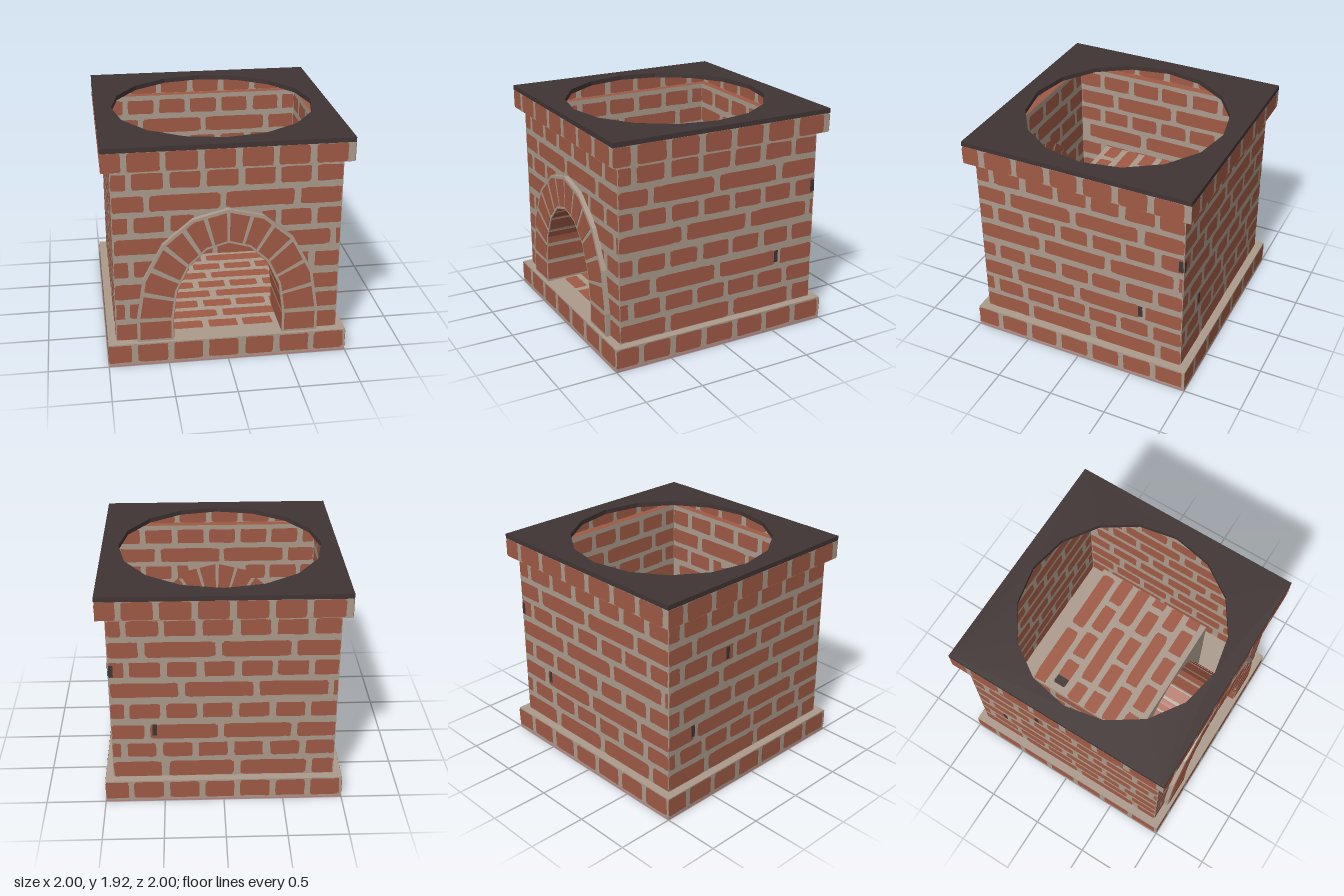
import * as THREE from 'three';
import { mergeGeometries } from 'three/addons/utils/BufferGeometryUtils.js';

const paint = (name, color) => {
  const m = new THREE.MeshStandardMaterial({ color, side: THREE.DoubleSide });
  m.name = name;
  return m;
};

export function createModel() {
  const model = new THREE.Group();
  const brick = paint('brick red', 0xa05a45);
  const mortar = paint('mortar', 0xab9b8c);
  const dark = paint('charcoal', 0x413535);
  const pink = paint('pink', 0xcc7a7a);

  let seed = 7;
  const rand = () => (seed = (seed * 16807) % 2147483647) / 2147483647 - 0.5;
  const clamp = THREE.MathUtils.clamp;
  const add = (name, geo, mat) => {
    const mesh = new THREE.Mesh(geo, mat);
    mesh.name = name;
    model.add(mesh);
    return mesh;
  };

  // Frames: k quarter turns around y, pushed out by d; or a level at height y (v = -z)
  const side = (k, d) => new THREE.Matrix4().makeRotationY(k * Math.PI / 2)
    .multiply(new THREE.Matrix4().makeTranslation(0, 0, d));
  const level = (y) => new THREE.Matrix4().makeTranslation(0, y, 0)
    .multiply(new THREE.Matrix4().makeRotationX(-Math.PI / 2));
  const rectShape = (u0, u1, v0, v1) => new THREE.Shape([[u0, v0], [u1, v0], [u1, v1], [u0, v1]]
    .map(p => new THREE.Vector2(...p)));
  const flat = (shape, frame) => new THREE.ShapeGeometry(shape).applyMatrix4(frame);
  const panel = (name, frame, u0, u1, v0, v1, mat = mortar) =>
    add(name, flat(rectShape(u0, u1, v0, v1), frame), mat);

  // One worn brick face, kept inside its rectangle
  const blob = (u0, u1, v0, v1, wear = 0.014) => {
    const pts = [];
    for (let i = 0; i < 28; i++) {
      const t = (i + 0.5) / 28 * Math.PI * 2, c = Math.cos(t), s = Math.sin(t);
      const x = Math.sign(c) * Math.abs(c) ** 0.2, y = Math.sign(s) * Math.abs(s) ** 0.25;
      pts.push(new THREE.Vector2(
        clamp((u0 + u1) / 2 + x * (u1 - u0) / 2 + rand() * wear, u0, u1),
        clamp((v0 + v1) / 2 + y * (v1 - v0) / 2 + rand() * wear, v0, v1)));
    }
    return new THREE.Shape(pts);
  };

  // Courses of bricks: each row is [centre, height, pitch, first joint]
  const courses = (name, frame, u0, u1, rows, gap = () => 0, wear) => {
    const list = [];
    for (const [v, h, pitch, joint] of rows) {
      const g = gap(v);
      for (let j = joint - pitch * Math.ceil((joint - u0) / pitch); j < u1; j += pitch) {
        const a = Math.max(u0, j + 0.024 + rand() * 0.012), b = Math.min(u1, j + pitch - 0.024 + rand() * 0.012);
        const parts = g > 0 ? [[a, Math.min(b, -g)], [Math.max(a, g), b]] : [[a, b]];
        for (const [p, q] of parts) {
          if (q - p > 0.03) list.push(flat(blob(p, q, v - h / 2, v + h / 2, wear), frame));
        }
      }
    }
    add(name, mergeGeometries(list), brick);
  };

  const L = 0.605, S = 0.297;
  const wallRows = [[0.28, 0.15, L, -0.49], [0.47, 0.14, S, -0.83], [0.65, 0.14, L, -0.63], [0.85, 0.14, S, -0.79],
    [1.05, 0.14, L, -0.34], [1.24, 0.14, S, -0.78], [1.42, 0.14, L, -0.65], [1.61, 0.14, S, -0.79]];

  // Arch outline: straight legs, then a half ellipse of eight facets; s runs 0..14
  const IN = [0.455, 0.66], OUT = [0.755, 0.95];
  const archPoint = (s, [a, h]) => {
    if (s < 1) return new THREE.Vector2(-a, 0.2 + 0.2 * s);
    if (s > 13) return new THREE.Vector2(a, 0.2 + 0.2 * (14 - s));
    const t = (s - 1) / 1.5, i = Math.min(7, Math.floor(t));
    const corner = n => new THREE.Vector2(-a * Math.cos(n * Math.PI / 8), 0.4 + h * Math.sin(n * Math.PI / 8));
    return corner(i).lerp(corner(i + 1), t - i);
  };
  const stops = [0, 1, 2.5, 4, 5.5, 7, 8.5, 10, 11.5, 13, 14];
  const archPath = (size) => stops.map(s => archPoint(s, size));
  const band = (inner, outer, ss, z0, z1) => new THREE.ExtrudeGeometry(
    new THREE.Shape([...ss.map(s => archPoint(s, outer)), ...ss.map(s => archPoint(s, inner)).reverse()]),
    { depth: z1 - z0, bevelEnabled: false }).translate(0, 0, z0);
  const voussoirs = (name, inner, outer, gap, z0, z1) => {
    const list = [];
    for (let i = 0; i < 14; i++) {
      const a = i + gap + rand() * 0.05, b = i + 1 - gap + rand() * 0.05;
      list.push(band(inner, outer, [0, 0.25, 0.5, 0.75, 1].map(t => a + (b - a) * t), z0, z1));
    }
    add(name, mergeGeometries(list), brick);
  };

  // Base block
  add('base', new THREE.BoxGeometry(1.994, 0.196, 1.994).translate(0, 0.102, 0), mortar);
  // Outer walls, base course and top course on all four sides
  const archGap = v => (v >= 1.35 ? 0 : v < 0.4 ? 0.66 : 0.755 * Math.sqrt(1 - ((v - 0.4) / 0.95) ** 2) - 0.08);
  for (let k = 0; k < 4; k++) {
    const shape = rectShape(-0.93, 0.93, 0.2, 1.72);
    if (k === 0) shape.holes.push(new THREE.Path(archPath(OUT)));
    add('wall', flat(shape, side(k, 0.926)), mortar);
    const gap = k === 0 ? archGap : undefined;
    courses('wallBricksOutside', side(k, 0.93), -0.925, 0.925, wallRows, gap);
    courses('wallBricksInside', side(k, 0.922), -0.92, 0.92, wallRows, gap);
    courses('baseBricks', side(k, 1), -1, 1, [[0.11, 0.165, S, -0.78]]);
    panel('baseEdge', side(k, 1), -1, 1, 0, 0.01, pink);
    panel('topCourse', side(k, 0.997), -0.997, 0.997, 1.72, 1.88);
    for (const d of [1, 0.994]) courses('topCourseBricks', side(k, d), -d, d, [[1.8, 0.158, S, -0.82]], undefined, 0.006);
  }
  // Underside of the overhanging course
  const ledge = rectShape(-1, 1, -1, 1);
  ledge.holes.push(rectShape(-0.926, 0.926, -0.926, 0.926));
  add('overhang', flat(ledge, level(1.72)), brick);

  // Dark top slab with a sixteen-sided opening
  const slab = rectShape(-1, 1, -1, 1);
  slab.holes.push(new THREE.Path(Array.from({ length: 16 }, (_, i) =>
    new THREE.Vector2(0.86 * Math.cos(i * Math.PI / 8), 0.86 * Math.sin(i * Math.PI / 8)))));
  add('topSlab', new THREE.ExtrudeGeometry(slab, { depth: 0.04, bevelEnabled: false })
    .applyMatrix4(level(1.88)), dark);

  // Arch surround and tunnel
  add('archSurround', band(IN, OUT, stops, 0.926, 0.968), mortar);
  voussoirs('archBricks', [0.475, 0.68], [0.73, 0.925], 0.09, 0.968, 0.972);
  voussoirs('archBricksInside', [0.475, 0.68], [0.73, 0.925], 0.09, 0.921, 0.926);
  add('tunnel', band(IN, [0.463, 0.668], stops, 0.5, 0.926), mortar);
  voussoirs('tunnelBricks', [0.45, 0.655], [0.468, 0.673], 0.1, 0.5, 0.965);

  // Fire chamber behind the tunnel
  const roofY = 1.13;
  const chamberRows = wallRows.slice(0, 5).map(r => [...r]);
  chamberRows[4][0] = 1.03;
  const chamberFront = rectShape(-0.6, 0.6, 0.2, roofY);
  chamberFront.holes.push(new THREE.Path(archPath(IN)));
  add('chamberFront', flat(chamberFront, side(0, 0.5)), mortar);
  panel('chamberBack', side(0, -0.57), -0.6, 0.6, 0.2, roofY);
  for (const d of [-0.574, -0.566]) courses('chamberBackBricks', side(0, d), -0.6, 0.6, chamberRows);
  for (const k of [1, 3]) {
    const [u0, u1] = k === 1 ? [-0.5, 0.57] : [-0.57, 0.5];
    panel('chamberSide', side(k, 0.6), u0, u1, 0.2, roofY);
    for (const d of [0.596, 0.604]) courses('chamberSideBricks', side(k, d), u0, u1, chamberRows);
  }
  panel('chamberRoof', level(roofY), -0.6, 0.6, -0.5, 0.57);
  const roofRows = [[0.48, 0.12, L, -0.02], [0.31, 0.12, S, -0.26], [0.135, 0.12, L, -0.4], [-0.04, 0.12, S, -0.1],
    [-0.215, 0.12, L, -0.24], [-0.39, 0.12, S, -0.1]];
  for (const y of [roofY - 0.004, roofY + 0.004]) courses('chamberRoofBricks', level(y), -0.6, 0.6, roofRows);

  // Brick floor
  panel('floor', level(0.204), -0.6, 0.6, -0.92, 0.7);
  const floorRows = Array.from({ length: 9 }, (_, i) =>
    [0.64 - i * 0.175, 0.12, i % 2 ? L : S, i % 2 ? -0.02 : -0.16]);
  courses('floorBricks', level(0.208), -0.6, 0.6, floorRows);

  // Painted strips on the top and bottom of the base
  for (const y of [0.0, 0.203]) {
    const e = y ? 0.92 : 1;
    panel('pinkStrip', level(y), -0.69, y ? -0.6 : -0.5, -e, e, pink);
    if (!y) panel('pinkEdge', level(y), -0.5, 1, 0.92, 1, pink);
    const list = [];
    for (let v = -0.96; v < e - 0.1; v += S) {
      list.push(flat(blob(-e, -0.78, Math.max(v, -e), Math.min(v + 0.25, e)), level(y)));
    }
    add('baseEdgeBricks', mergeGeometries(list), brick);
  }

  // Dark chips
  const chip = (frame, u, v, w, h) => add('chip', flat(blob(u - w / 2, u + w / 2, v - h / 2, v + h / 2, 0.008), frame), dark);
  chip(side(0, -0.562), -0.25, 0.28, 0.035, 0.1);
  chip(level(roofY + 0.007), -0.5, 0.31, 0.08, 0.11);
  for (const [k, u, v] of [[1, 0.56, 0.66], [1, 0.905, 1.24], [2, -0.57, 0.67], [2, -0.905, 1.23], [3, -0.27, 1.24], [3, -0.66, 0.67]]) {
    chip(side(k, 0.933), u, v, 0.04, 0.11);
  }
  return model;
}
